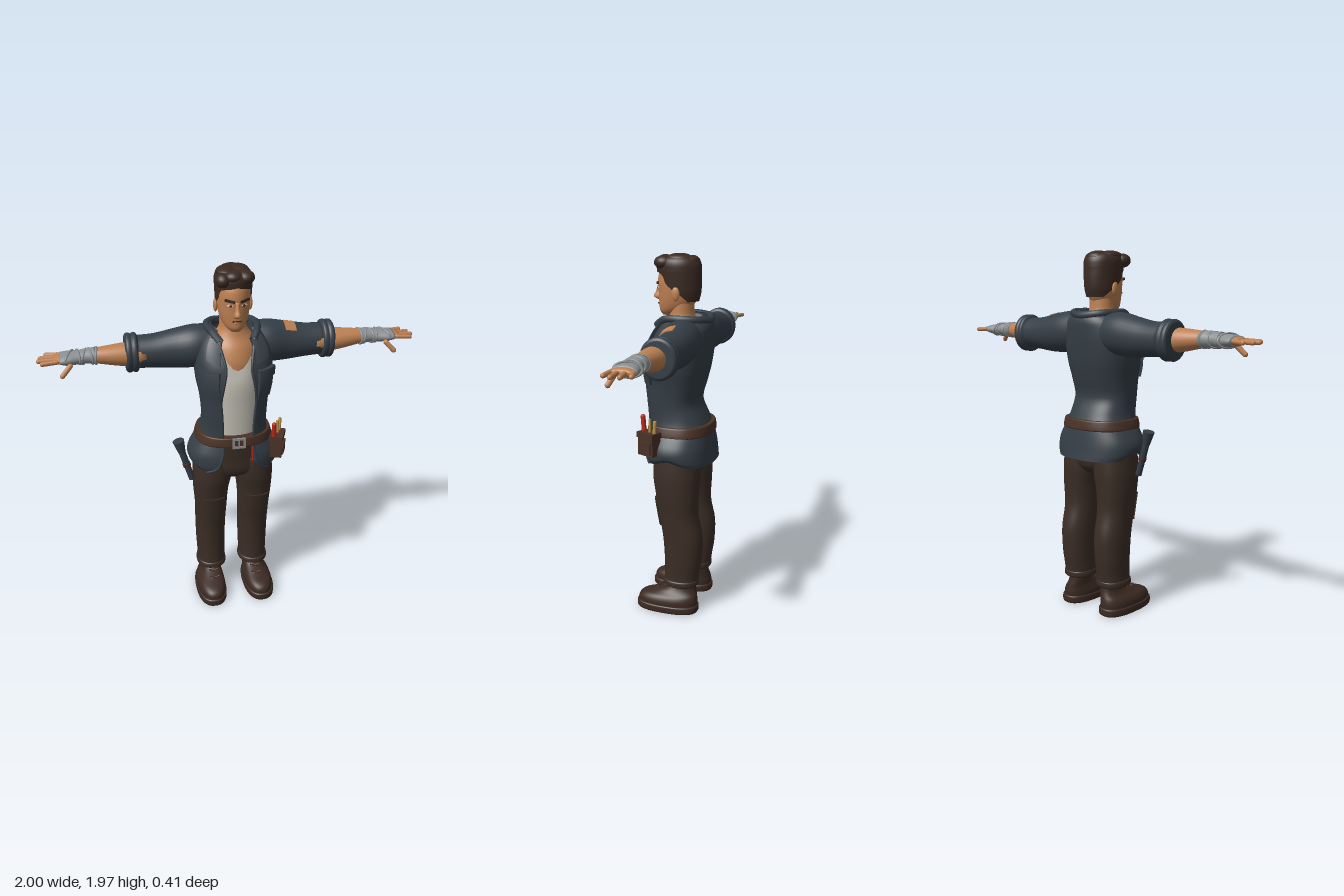
import * as THREE from 'three';

const mat = (name, color, side = THREE.FrontSide) => new THREE.MeshStandardMaterial({ name, color, side });

// Smoothly reads a cross-section [h, centreX, radiusX, backZ, frontZ, openAngle] at height h
function sample(rows, h) {
  let i = 0;
  while (i < rows.length - 2 && h > rows[i + 1][0]) i++;
  const slope = (k, c) => {
    const a = rows[Math.max(k - 1, 0)], b = rows[Math.min(k + 1, rows.length - 1)];
    return ((b[c] || 0) - (a[c] || 0)) / (b[0] - a[0]);
  };
  const d = rows[i + 1][0] - rows[i][0], t = (h - rows[i][0]) / d, t2 = t * t, t3 = t2 * t;
  return [0, 1, 2, 3, 4, 5].map(c => c === 0 ? h :
    (2 * t3 - 3 * t2 + 1) * (rows[i][c] || 0) + (t3 - 2 * t2 + t) * d * slope(i, c) +
    (3 * t2 - 2 * t3) * (rows[i + 1][c] || 0) + (t3 - t2) * d * slope(i + 1, c));
}

// Point on a section; angle 0 faces +z and grows toward +x
function surf(r, a, p, off = 0) {
  const s = Math.sin(a), c = Math.cos(a), e = 2 / p;
  return [r[1] + (r[2] + off) * Math.sign(s) * Math.abs(s) ** e, r[0],
    (r[3] + r[4]) / 2 + ((r[4] - r[3]) / 2 + off) * Math.sign(c) * Math.abs(c) ** e];
}

// Skin through cross-sections, optionally open at the front
function loft(rows, { p = 2, n = 40, k = 4, caps = 'both' } = {}) {
  const pos = [], idx = [], open = rows.some(r => r[5]), cols = open ? n + 1 : n, levels = [];
  for (let i = 0; i < rows.length - 1; i++)
    for (let j = 0; j < k; j++) levels.push(rows[i][0] + (rows[i + 1][0] - rows[i][0]) * j / k);
  levels.push(rows.at(-1)[0]);
  const sections = levels.map(h => sample(rows, h));
  sections.forEach((r, i) => {
    const a0 = Math.max(0, r[5]);
    for (let j = 0; j < cols; j++) {
      pos.push(...surf(r, a0 + (2 * Math.PI - 2 * a0) * j / n, p));
      if (i < levels.length - 1 && j < n) {
        const a = i * cols + j, b = i * cols + (j + 1) % cols;
        idx.push(a, b, b + cols, a, b + cols, a + cols);
      }
    }
  });
  const cap = (i, top) => {
    const r = sections[i], c = pos.length / 3;
    pos.push(r[1], r[0], (r[3] + r[4]) / 2);
    for (let j = 0; j < n; j++) {
      const a = i * cols + j, b = i * cols + (j + 1) % cols;
      idx.push(c, top ? a : b, top ? b : a);
    }
  };
  if (caps === 'both') cap(0, false);
  if (caps !== 'none') cap(levels.length - 1, true);
  const g = new THREE.BufferGeometry();
  g.setAttribute('position', new THREE.Float32BufferAttribute(pos, 3));
  g.setIndex(idx);
  g.computeVertexNormals();
  return g;
}

// Moves every vertex by a rule
function warp(g, rule) {
  const q = g.attributes.position;
  for (let i = 0; i < q.count; i++) q.setXYZ(i, ...rule(q.getX(i), q.getY(i), q.getZ(i)));
  g.computeVertexNormals();
  return g;
}

// Plate that hugs a lofted surface
const plate = (rows, p, h0, h1, a0, a1, t) => warp(new THREE.BoxGeometry(1, 1, 1, 10, 6, 1), (x, y, z) =>
  surf(sample(rows, h0 + (h1 - h0) * (y + 0.5)), a0 + (a1 - a0) * (x + 0.5), p, z > 0 ? t : -0.004));

// Arm sections are given as [x, centreY, radiusY, backZ, frontZ]
const armRows = rows => rows.map(([x, y, r, b, f]) => [x, -y, r, b, f]);
const armLoft = rows => loft(armRows(rows), { n: 28 }).rotateZ(-Math.PI / 2);

const V = (x, y, z) => new THREE.Vector3(x, y, z);
function along(g, a, b) {
  const A = V(...a), B = V(...b), q = new THREE.Quaternion().setFromUnitVectors(V(0, 1, 0), B.clone().sub(A).normalize());
  return g.applyQuaternion(q).translate(...A.add(B).multiplyScalar(0.5).toArray());
}
const dist = (a, b) => V(...a).distanceTo(V(...b));
const finger = (a, b, r) => along(new THREE.CapsuleGeometry(r, dist(a, b) - 2 * r, 5, 10), a, b);
const rod = (a, b, r0, r1 = r0) => along(new THREE.CylinderGeometry(r1, r0, dist(a, b), 16), a, b);
const blob = (x, y, z, a, b, c) => new THREE.SphereGeometry(1, 20, 14).scale(a, b, c).translate(x, y, z);
const tube = (pts, r) => new THREE.TubeGeometry(new THREE.CatmullRomCurve3(pts.map(p => V(...p))), 48, r, 8);

function mirror(g) {
  const m = g.clone().scale(-1, 1, 1);
  const ix = m.index ? Array.from(m.index.array) : [...Array(m.attributes.position.count).keys()];
  for (let i = 0; i < ix.length; i += 3) [ix[i + 1], ix[i + 2]] = [ix[i + 2], ix[i + 1]];
  m.setIndex(ix);
  return m;
}

export function createModel() {
  const model = new THREE.Group();
  model.name = 'mechanic';
  const skin = mat('skin', 0xbd8052), hairM = mat('hair brown', 0x3b2a22, THREE.DoubleSide);
  const denim = mat('dark denim', 0x353e46, THREE.DoubleSide), cream = mat('cream cotton', 0xcac6bb, THREE.DoubleSide);
  const trouser = mat('trouser brown', 0x3b2d25), boot = mat('boot brown', 0x3c2a22), leather = mat('belt leather', 0x4a3227);
  const grey = mat('bandage grey', 0x8d9193), red = mat('tool red', 0xb8281c), yellow = mat('tool yellow', 0xbf9a45);
  const add = (name, g, m) => {
    const mesh = new THREE.Mesh(g, m);
    mesh.name = name;
    model.add(mesh);
  };
  const both = (name, g, m) => { add(name + 'Left', g, m); add(name + 'Right', mirror(g), m); };

  // Head and neck
  add('head', loft([[1.655, 0, .028, .035, .10], [1.675, 0, .05, -.02, .115], [1.70, 0, .066, -.06, .118], [1.74, 0, .078, -.085, .12],
    [1.79, 0, .084, -.095, .122], [1.83, 0, .085, -.098, .125], [1.88, 0, .08, -.095, .115], [1.92, 0, .06, -.07, .085]]), skin);
  add('neckAndChest', loft([[1.38, 0, .12, -.09, .125], [1.48, 0, .125, -.11, .13], [1.56, 0, .125, -.12, .105], [1.61, 0, .10, -.10, .075],
    [1.65, 0, .073, -.075, .062], [1.70, 0, .068, -.07, .055], [1.76, 0, .066, -.07, .05]]), skin);
  add('nose', loft([[1.735, 0, .015, .10, .13], [1.748, 0, .02, .10, .152], [1.775, 0, .013, .10, .141], [1.815, 0, .011, .10, .127]], { n: 16 }), skin);
  add('mouth', new THREE.BoxGeometry(.046, .006, .008).translate(0, 1.716, .117), hairM);
  add('lowerLip', blob(0, 1.708, .114, .02, .006, .008), skin);
  both('ear', blob(.09, 1.772, .002, .011, .036, .022), skin);
  both('eyeWhite', blob(0, 0, 0, .017, .007, .004).rotateY(.35).translate(.036, 1.797, .113), cream);
  both('iris', blob(0, 0, 0, .007, .007, .003).rotateY(.3).translate(.034, 1.797, .1165), hairM);
  both('eyebrow', new THREE.BoxGeometry(.052, .012, .01).rotateZ(.16).rotateY(.4).translate(.038, 1.822, .116), hairM);

  // Swept-back hair
  add('hair', loft([[1.73, 0, .078, -.096, .10, 2.2], [1.77, 0, .088, -.106, .12, 1.75], [1.82, 0, .092, -.11, .125, 1.15],
    [1.87, 0, .095, -.11, .128, .85], [1.89, 0, .096, -.11, .13, 0], [1.925, 0, .094, -.105, .13, 0],
    [1.952, 0, .078, -.085, .112, 0], [1.962, 0, .045, -.05, .07, 0]], { caps: 'top' }), hairM);
  [[-.068, 1.92, .088, .038, .036, .045], [-.015, 1.935, .092, .045, .03, .042], [.048, 1.928, .08, .046, .036, .05],
    [-.04, 1.945, .02, .05, .026, .07], [.03, 1.947, .005, .05, .026, .07], [0, 1.935, -.055, .06, .03, .045]]
    .forEach((l, i) => add('hairLock' + i, blob(...l), hairM));

  // Vest with scooped neckline
  add('vest', warp(loft([[1.02, 0, .14, -.09, .125], [1.12, 0, .145, -.09, .132], [1.25, 0, .15, -.09, .142], [1.38, 0, .16, -.11, .152],
    [1.46, 0, .16, -.12, .142]], { caps: 'none' }), (x, y, z) =>
    [x, y + Math.max(0, y - 1.38) * Math.min(1, (x / .07) ** 2), z]), cream);

  // Open jacket with flared skirt
  const jacket = [[.87, 0, .235, -.20, .165, .72], [.90, 0, .25, -.195, .172, .42], [.96, 0, .25, -.187, .172, .31],
    [1.02, 0, .22, -.178, .162, .31], [1.06, 0, .193, -.17, .156, .38], [1.12, 0, .178, -.145, .16, .42], [1.20, 0, .176, -.112, .166, .45],
    [1.30, 0, .185, -.135, .176, .46], [1.38, 0, .20, -.155, .185, .36], [1.48, 0, .205, -.17, .17, .27], [1.56, 0, .19, -.175, .135, .38],
    [1.62, 0, .155, -.17, .10, .6], [1.66, 0, .105, -.13, .07, 1.0]];
  const lift = (x, y, z) => [x, y + .035 * Math.max(0, (.95 - y) / .08) * Math.exp(-((z / .08) ** 2)), z];
  add('jacket', warp(loft(jacket, { p: 2.4, n: 64, caps: 'none' }), lift), denim);
  const edge = [];
  for (let h = .87; h < 1.655; h += .026) {
    const r = sample(jacket, h);
    edge.push(surf(r, r[5], 2.4));
  }
  both('jacketEdge', tube(edge, .008), denim);
  both('chestPocket', plate(jacket, 2.4, 1.305, 1.43, .45, 1.05, .012), denim);
  both('pocketFlap', plate(jacket, 2.4, 1.42, 1.465, .42, 1.08, .02), denim);
  both('lapel', warp(plate(jacket, 2.4, 1.5, 1.615, .4, .8, .012), (x, y, z) => [x, y + (x - .1) * .4, z]), denim);
  add('collar', tube([[-.085, 1.61, .105], [-.115, 1.645, .05], [-.13, 1.65, -.05], [-.09, 1.645, -.13], [0, 1.635, -.16],
    [.09, 1.645, -.13], [.13, 1.65, -.05], [.115, 1.645, .05], [.085, 1.61, .105]], .02), denim);

  // Sleeves with rolled cuffs
  const sleeve = [[.10, 1.545, .105, -.15, .04], [.2, 1.54, .113, -.16, .05], [.3, 1.53, .104, -.157, .03],
    [.4, 1.525, .09, -.152, .022], [.5, 1.525, .085, -.15, .018]];
  both('sleeve', armLoft(sleeve), denim);
  both('rolledCuff', armLoft([[.486, 1.523, .088, -.145, .015], [.496, 1.523, .103, -.158, .028], [.512, 1.523, .104, -.159, .029],
    [.52, 1.523, .099, -.155, .025], [.53, 1.523, .104, -.159, .029], [.546, 1.523, .102, -.157, .027], [.555, 1.523, .088, -.145, .015]]), denim);
  add('sleeveTear', plate(armRows(sleeve), 2, .283, .343, -1.6, -.8, .005).rotateZ(-Math.PI / 2), skin);

  // Forearms, bandages and hands
  both('forearm', armLoft([[.45, 1.525, .062, -.115, .02], [.56, 1.525, .06, -.108, .022], [.65, 1.53, .048, -.09, .016],
    [.75, 1.535, .033, -.072, .005], [.82, 1.533, .026, -.08, .02], [.88, 1.533, .023, -.09, .027], [.915, 1.533, .014, -.085, .022]]), skin);
  both('bandage', armLoft([[.70, 1.534, .043, -.085, .016], [.76, 1.535, .037, -.078, .012], [.80, 1.532, .034, -.083, .02],
    [.85, 1.532, .031, -.094, .033], [.885, 1.533, .025, -.095, .031]]), grey);
  [[.70, .1], [.73, -.2], [.76, .25], [.79, -.15], [.835, .35]].forEach(([x, tilt], i) =>
    both('bandageBand' + i, new THREE.TorusGeometry(1, .13, 8, 28).scale(.05 + (i === 4 ? .012 : 0), .041 - i * .0015, .05)
      .rotateY(Math.PI / 2 + tilt).rotateZ(tilt * .6).translate(x, 1.533, -.033), grey));
  [[-.082, -.1, .965], [-.048, -.056, .992], [-.014, -.014, 1], [.018, .028, .98]].forEach(([z0, z1, tip], i) =>
    both('finger' + i, finger([.885, 1.534, z0], [tip, 1.53, z1], .012), skin));
  both('thumb', finger([.825, 1.52, .025], [.885, 1.458, .05], .0135), skin);

  // Trousers
  add('hips', loft([[.78, 0, .09, -.10, .05], [.83, 0, .19, -.14, .11], [.92, 0, .212, -.145, .115], [1.0, 0, .19, -.13, .118],
    [1.08, 0, .16, -.11, .125]]), trouser);
  const leg = [[.165, .126, .081, -.138, .053], [.22, .125, .08, -.145, .05], [.32, .126, .083, -.16, .05], [.45, .126, .086, -.163, .06],
    [.58, .125, .09, -.137, .082], [.70, .125, .099, -.14, .10], [.80, .116, .11, -.145, .115], [.92, .106, .11, -.14, .11]];
  both('trouserLeg', loft(leg, { p: 2.2 }), trouser);
  both('trouserHem', loft([[.158, .126, .08, -.137, .05], [.165, .126, .086, -.143, .058], [.188, .126, .085, -.144, .056], [.195, .126, .08, -.14, .05]], { p: 2.2 }), trouser);
  both('kneePatch', plate(leg, 2.2, .52, .67, -.62, .62, .009), trouser);

  // Boots
  both('bootSole', loft([[0, .143, .083, -.143, .207], [.008, .143, .087, -.147, .211], [.036, .143, .087, -.147, .211], [.042, .143, .082, -.143, .205]], { p: 2.5 }), boot);
  both('bootUpper', loft([[.035, .142, .081, -.14, .203], [.065, .141, .081, -.141, .201], [.09, .138, .073, -.138, .175], [.11, .13, .06, -.134, .105],
    [.135, .124, .052, -.128, .035], [.165, .122, .05, -.124, .01], [.2, .122, .05, -.122, 0]], { p: 2.3 }), boot);
  [[.118, .09], [.135, .045], [.155, .022]].forEach(([y, z], i) => [-1, 1].forEach(s =>
    both('bootLace' + i + (s > 0 ? 'A' : 'B'), rod([.126 - .028, y - s * .009, z], [.126 + .028, y + s * .009, z], .004), leather)));

  // Belt, buckle, pouch and tools
  add('belt', loft([[1.03, 0, .21, -.185, .168], [1.036, 0, .213, -.188, .171], [1.078, 0, .202, -.183, .168], [1.084, 0, .198, -.18, .165]], { p: 2.4, n: 56 }), leather);
  const frame = new THREE.Shape([[-.035, -.03], [.035, -.03], [.035, .03], [-.035, .03]].map(p => new THREE.Vector2(...p)));
  frame.holes.push(new THREE.Path([[-.024, -.019], [-.024, .019], [.024, .019], [.024, -.019]].map(p => new THREE.Vector2(...p))));
  add('buckle', new THREE.ExtrudeGeometry(frame, { depth: .009, bevelEnabled: false }).translate(0, 1.057, .168), grey);
  add('bucklePin', new THREE.BoxGeometry(.007, .05, .007).translate(0, 1.057, .174), grey);
  const onHip = g => g.rotateY(-.4).translate(.226, 1.0, .105);
  add('toolPouch', onHip(new THREE.BoxGeometry(.062, .125, .105)), leather);
  add('pouchFlap', onHip(new THREE.BoxGeometry(.072, .03, .115).translate(0, .048, 0)), leather);
  add('pouchPocket', onHip(new THREE.BoxGeometry(.012, .06, .08).translate(.034, -.018, 0)), leather);
  add('screwdriverHandle', finger([.2, 1.04, .14], [.195, 1.15, .15], .013), red);
  add('pencil', rod([.23, 1.04, .10], [.226, 1.135, .10], .007), yellow);
  add('foldingRule', rod([.243, 1.04, .07], [.25, 1.13, .062], .009), yellow);
  add('keyCord', rod([.07, 1.03, .176], [.074, .95, .178], .005), red);
  add('keyTag', new THREE.BoxGeometry(.012, .045, .006).translate(.075, .928, .178), leather);

  // Torch hanging on the right hip
  add('torchBody', rod([-.238, .785, .03], [-.295, .98, .03], .017, .019), denim);
  add('torchHead', rod([-.29, .962, .03], [-.307, 1.03, .03], .021, .032), denim);
  add('torchRing', rod([-.262, .868, .03], [-.268, .888, .03], .022), leather);
  return model;
}
